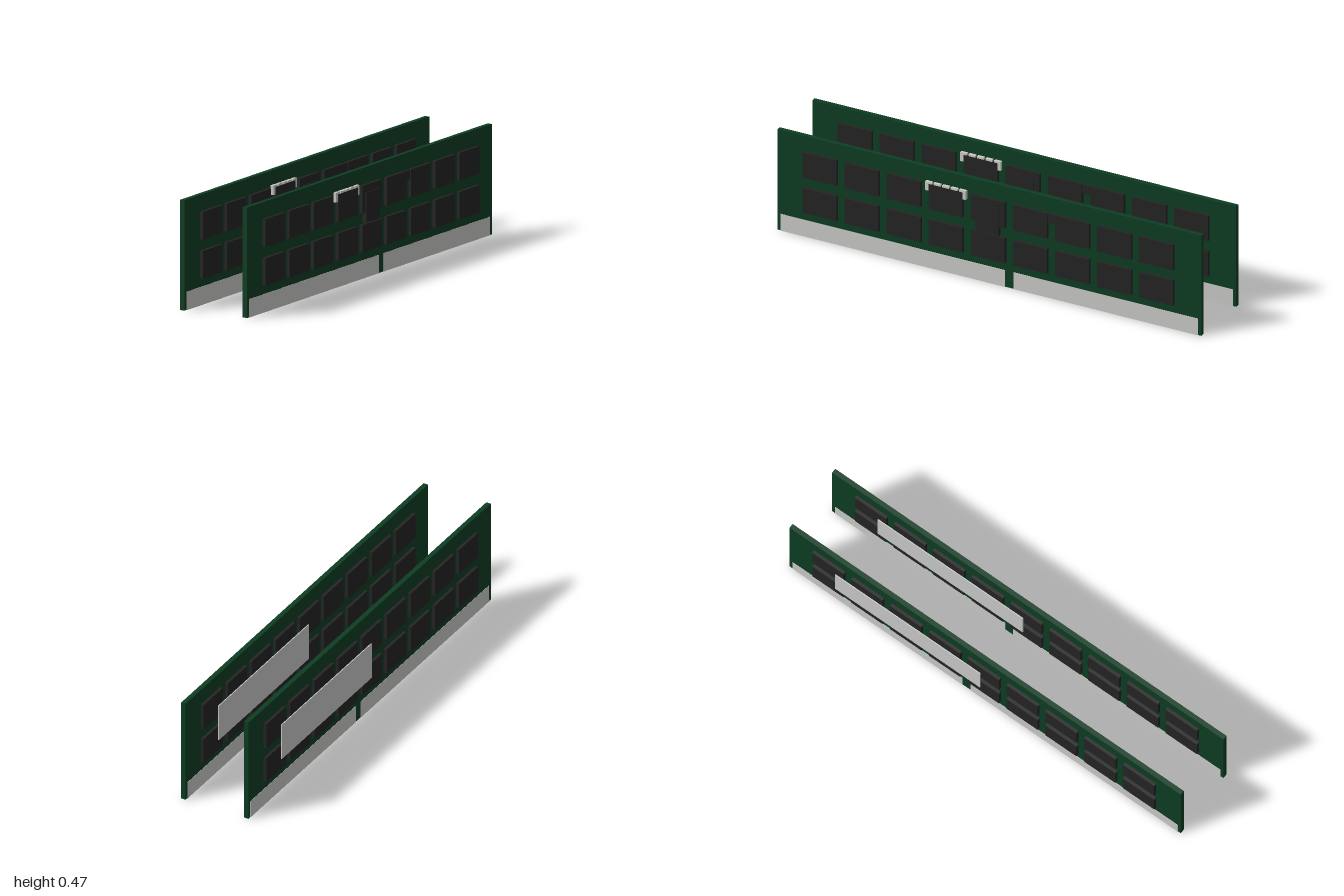
import * as THREE from 'three';

const mat = (name, color) => {
  const m = new THREE.MeshStandardMaterial({ color });
  m.name = name;
  return m;
};

export function createModel() {
  const green = mat('board green', 0x0d3d22);
  const black = mat('chip black', 0x242425);
  const silver = mat('contact silver', 0xcbcbc9);
  const pale = mat('capacitor grey', 0xcccdc5);
  const white = mat('label grey', 0xcbcbcb);

  // box given by its extents along each axis
  const block = (parent, name, material, [x0, x1], [y0, y1], [z0, z1]) => {
    const mesh = new THREE.Mesh(new THREE.BoxGeometry(x1 - x0, y1 - y0, z1 - z0), material);
    mesh.position.set((x0 + x1) / 2, (y0 + y1) / 2, (z0 + z1) / 2);
    mesh.name = name;
    parent.add(mesh);
  };

  const createStick = () => {
    const stick = new THREE.Group();
    stick.name = 'memoryStick';
    block(stick, 'circuitBoard', green, [-0.0105, 0.0105], [0.001, 0.467], [-1, 1]);

    // edge contacts on both faces, split by the key gap
    for (const z of [[-0.985, -0.115], [-0.075, 0.985]]) {
      block(stick, 'edgeContacts', silver, [-0.0117, 0.0117], [0, 0.078], z);
    }

    // two rows of nine chips on each face
    for (const side of [-1, 1]) {
      const x = side > 0 ? [0.01, 0.0242] : [-0.0242, -0.01];
      for (const y of [[0.116, 0.232], [0.28, 0.397]]) {
        for (let i = -4; i <= 4; i++) {
          block(stick, 'memoryChip', black, x, y, [i * 0.1985 - 0.08, i * 0.1985 + 0.08]);
        }
      }
    }

    // taller register chip and the small chip bridging two memory chips
    block(stick, 'registerChip', black, [0.01, 0.028], [0.237, 0.365], [-0.053, 0.055]);
    block(stick, 'smallChip', black, [0.01, 0.02], [0.355, 0.395], [-0.338, -0.258]);

    // row of capacitors peeking out around one chip
    for (let i = -2; i <= 2; i++) {
      const z = 0.2 + i * 0.04;
      block(stick, 'capacitor', pale, [0.01, 0.0238], [0.365, 0.406], [z - 0.016, z + 0.016]);
    }

    // label over the chips on the other face
    block(stick, 'label', white, [-0.0285, -0.0242], [0.166, 0.332], [-0.755, -0.013]);
    return stick;
  };

  const model = new THREE.Group();
  model.name = 'memoryPair';
  for (const x of [-0.15, 0.15]) {
    const stick = createStick();
    stick.position.x = x;
    model.add(stick);
  }
  return model;
}
